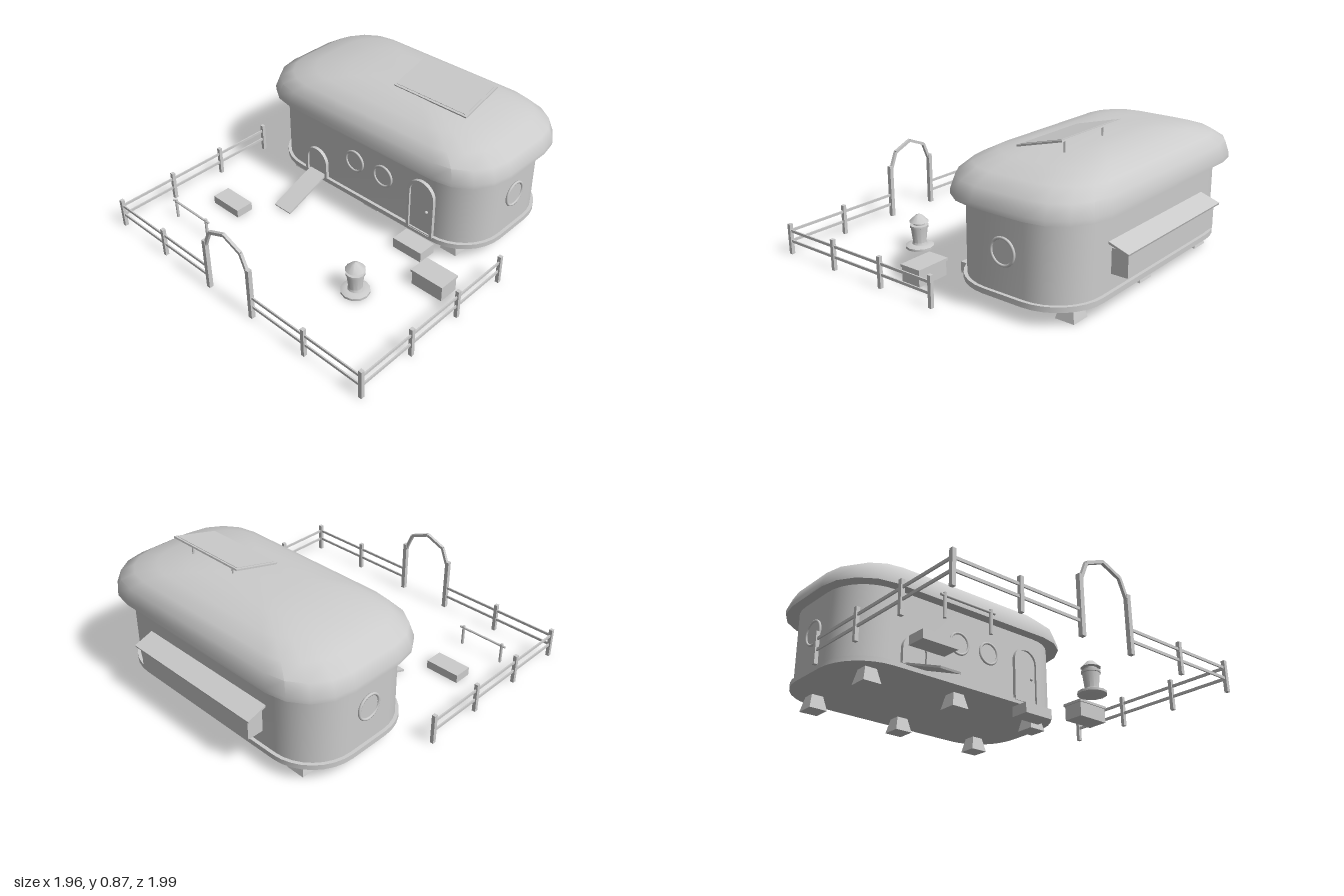
import * as THREE from 'three';
import { toCreasedNormals } from 'three/addons/utils/BufferGeometryUtils.js';

const grey = new THREE.MeshStandardMaterial({ color: 0xcccccc });
grey.name = 'plain grey';

const HOUSE_Z = -0.487, WALL_Z = -0.09, WALL_X = 0.8;

function add(parent, name, geometry, x = 0, y = 0, z = 0) {
  const mesh = new THREE.Mesh(geometry, grey);
  mesh.name = name;
  mesh.position.set(x, y, z);
  parent.add(mesh);
  return mesh;
}

function group(parent, name, x = 0, y = 0, z = 0) {
  const g = new THREE.Group();
  g.name = name;
  g.position.set(x, y, z);
  parent.add(g);
  return g;
}

// Box given by its limits on each axis
function block(parent, name, x0, x1, y0, y1, z0, z1) {
  return add(parent, name, new THREE.BoxGeometry(x1 - x0, y1 - y0, z1 - z0),
    (x0 + x1) / 2, (y0 + y1) / 2, (z0 + z1) / 2);
}

// Square beam between two points
function beam(parent, name, a, b, width, depth = width) {
  const p = new THREE.Vector3(...a), q = new THREE.Vector3(...b);
  const mesh = add(parent, name, new THREE.BoxGeometry(width, p.distanceTo(q), depth));
  mesh.position.copy(p).add(q).multiplyScalar(0.5);
  mesh.quaternion.setFromUnitVectors(new THREE.Vector3(0, 1, 0), q.sub(p).normalize());
  return mesh;
}

// Closed solid from rounded-rectangle rings; layers are [scale, y]
function loft(hw, hd, r, segments, layers, crease) {
  const ring = [];
  [[1, 1], [-1, 1], [-1, -1], [1, -1]].forEach(([sx, sz], q) => {
    for (let i = 0; i <= segments; i++) {
      const a = (q + i / segments) * Math.PI / 2;
      ring.push([sx * (hw - r) + r * Math.cos(a), sz * (hd - r) + r * Math.sin(a)]);
    }
  });
  const n = ring.length, pos = [], index = [];
  for (const [s, y] of layers) for (const [x, z] of ring) pos.push(x * s, y, z * s);
  const bottom = n * layers.length, top = bottom + 1, last = n * (layers.length - 1);
  pos.push(0, layers[0][1], 0, 0, layers[layers.length - 1][1], 0);
  for (let j = 0; j < n; j++) {
    const k = (j + 1) % n;
    for (let i = 0; i < layers.length - 1; i++) {
      const a = i * n + j, b = i * n + k;
      index.push(a, a + n, b, b, a + n, b + n);
    }
    index.push(bottom, j, k, top, last + k, last + j);
  }
  const g = new THREE.BufferGeometry();
  g.setAttribute('position', new THREE.Float32BufferAttribute(pos, 3));
  g.setIndex(index);
  return toCreasedNormals(g, crease);
}

// Round-topped outline standing on y = 0
function archOutline(Type, hw, height, bottom = 0) {
  const s = new Type();
  s.moveTo(-hw, bottom);
  s.lineTo(hw, bottom);
  s.lineTo(hw, height - hw);
  s.absarc(0, height - hw, hw, 0, Math.PI, false);
  s.lineTo(-hw, bottom);
  return s;
}

function archDoor(parent, name, x, y, hw, height) {
  const door = group(parent, name, x, y, WALL_Z);
  const frame = archOutline(THREE.Shape, hw, height);
  frame.holes.push(archOutline(THREE.Path, hw - 0.018, height - 0.018, 0.004));
  const opts = { bevelEnabled: false, curveSegments: 16 };
  add(door, 'doorFrame', new THREE.ExtrudeGeometry(frame, { ...opts, depth: 0.022 }));
  add(door, 'doorPanel', new THREE.ExtrudeGeometry(
    archOutline(THREE.Shape, hw - 0.017, height - 0.017), { ...opts, depth: 0.008 }));
  return door;
}

function porthole(parent, x, y, z, r, turn) {
  const w = group(parent, 'roundWindow', x, y, z);
  w.rotation.y = turn;
  add(w, 'windowRim', new THREE.TorusGeometry(r - 0.007, 0.008, 8, 28), 0, 0, 0.006);
  add(w, 'windowPane', new THREE.CircleGeometry(r - 0.007, 28), 0, 0, 0.006);
}

export function createModel() {
  const model = new THREE.Group();
  model.name = 'henhouseWithYard';

  // House shell
  const house = group(model, 'house');
  add(house, 'floorPlate', loft(0.82, 0.415, 0.29, 8, [[1, 0.09], [1, 0.12]], 0.6), 0, 0, HOUSE_Z);
  add(house, 'walls', loft(WALL_X, 0.395, 0.27, 8, [[1, 0.12], [1, 0.57]], 0.6), 0, 0, HOUSE_Z);
  add(house, 'roof', loft(0.865, 0.467, 0.305, 4, [[1, 0.56], [1, 0.585], [0.965, 0.66], [0.86, 0.715],
    [0.69, 0.76], [0.455, 0.788], [0.28, 0.795]], 0.75), 0, 0, HOUSE_Z - 0.005);

  // Tapered feet in two rows
  for (const x of [-0.61, 0, 0.61]) for (const z of [-0.21, -0.765]) {
    const foot = new THREE.CylinderGeometry(0.053, 0.082, 0.09, 4, 1).toNonIndexed();
    foot.rotateY(Math.PI / 4);
    foot.computeVertexNormals();
    add(house, 'foot', foot, x, 0.045, z);
  }

  // Doors and windows
  archDoor(house, 'smallDoor', -0.387, 0.12, 0.09, 0.185);
  const door = archDoor(house, 'tallDoor', 0.45, 0.11, 0.096, 0.36);
  add(door, 'doorKnob', new THREE.SphereGeometry(0.01, 10, 8), 0.045, 0.163, 0.014);
  for (const x of [-0.07, 0.155]) porthole(house, x, 0.355, WALL_Z, 0.073, 0);
  for (const s of [-1, 1]) porthole(house, s * WALL_X, 0.345, -0.485, 0.08, s * Math.PI / 2);

  // Ramp and step
  const ramp = beam(model, 'ramp', [-0.383, 0.128, -0.085], [-0.383, 0.006, 0.235], 0.135, 0.012);
  ramp.name = 'ramp';
  block(model, 'doorStep', 0.345, 0.553, 0, 0.065, -0.09, 0.03);

  // Nest box with sloping lid at the back
  const nest = group(model, 'nestBox');
  block(nest, 'nestBody', -0.44, 0.44, 0.21, 0.35, -0.98, -0.87);
  beam(nest, 'nestLid', [0, 0.39, -0.87], [0, 0.347, -0.998], 0.94, 0.012);

  // Tilted roof panel on two struts
  const solar = group(model, 'roofPanel', 0.263, 0.833, -0.49);
  solar.rotation.x = 0.255;
  add(solar, 'panelFrame', new THREE.BoxGeometry(0.525, 0.01, 0.294));
  add(solar, 'panelFace', new THREE.BoxGeometry(0.495, 0.005, 0.265), 0, 0.005, 0);
  for (const x of [0.095, 0.43])
    add(model, 'panelStrut', new THREE.CylinderGeometry(0.006, 0.006, 0.08, 8), x, 0.815, -0.58);

  // Feeder with dish, hopper and cone cap
  const feeder = [[0, 0], [0.07, 0], [0.085, 0.006], [0.085, 0.02], [0.06, 0.03], [0.045, 0.03], [0.04, 0.042],
    [0.051, 0.132], [0.056, 0.134], [0.056, 0.148], [0.035, 0.15], [0.035, 0.166], [0.058, 0.168],
    [0.022, 0.205], [0, 0.215]].map(p => new THREE.Vector2(...p));
  add(model, 'feeder', toCreasedNormals(new THREE.LatheGeometry(feeder, 12), 0.6), 0.445, 0, 0.46);

  // Yard boxes
  block(model, 'lowTrough', -0.745, -0.525, 0, 0.052, 0.36, 0.475);
  block(model, 'storageBox', 0.63, 0.84, 0, 0.09, 0.07, 0.197);
  block(model, 'storageLid', 0.623, 0.845, 0.088, 0.103, 0.063, 0.203);

  // Perch
  const perch = group(model, 'perch', -0.662, 0, 0.715);
  add(perch, 'perchBar', new THREE.CylinderGeometry(0.007, 0.007, 0.33, 8).rotateZ(Math.PI / 2), 0, 0.115, 0);
  for (const s of [-1, 1])
    add(perch, 'perchPost', new THREE.CylinderGeometry(0.009, 0.009, 0.13, 8), s * 0.14, 0.065, 0);

  // Fence on three sides
  const fence = group(model, 'fence');
  const post = (x, z) => block(fence, 'fencePost', x - 0.011, x + 0.011, 0, 0.185, z - 0.011, z + 0.011);
  for (const s of [-1, 1]) {
    for (const z of [-0.145, 0.23, 0.605, 0.98]) post(s * 0.97, z);
    post(s * 0.572, 0.98);
    for (const y of [0.08, 0.143]) {
      block(fence, 'sideRail', s * 0.97 - 0.004, s * 0.97 + 0.004, y - 0.008, y + 0.008, -0.145, 0.98);
      const x0 = s > 0 ? 0.175 : -0.97, x1 = s > 0 ? 0.97 : -0.175;
      block(fence, 'frontRail', x0, x1, y - 0.008, y + 0.008, 0.976, 0.984);
    }
  }

  // Arched gateway
  const gate = group(model, 'gateway', 0, 0, 0.98);
  for (const s of [-1, 1])
    block(gate, 'gatePost', s * 0.175 - 0.013, s * 0.175 + 0.013, 0, 0.335, -0.013, 0.013);
  const archPoint = i => [0.175 * Math.cos(i * Math.PI / 4), 0.295 + 0.172 * Math.sin(i * Math.PI / 4), 0];
  for (let i = 0; i < 4; i++) beam(gate, 'gateArch', archPoint(i), archPoint(i + 1), 0.018);

  return model;
}
